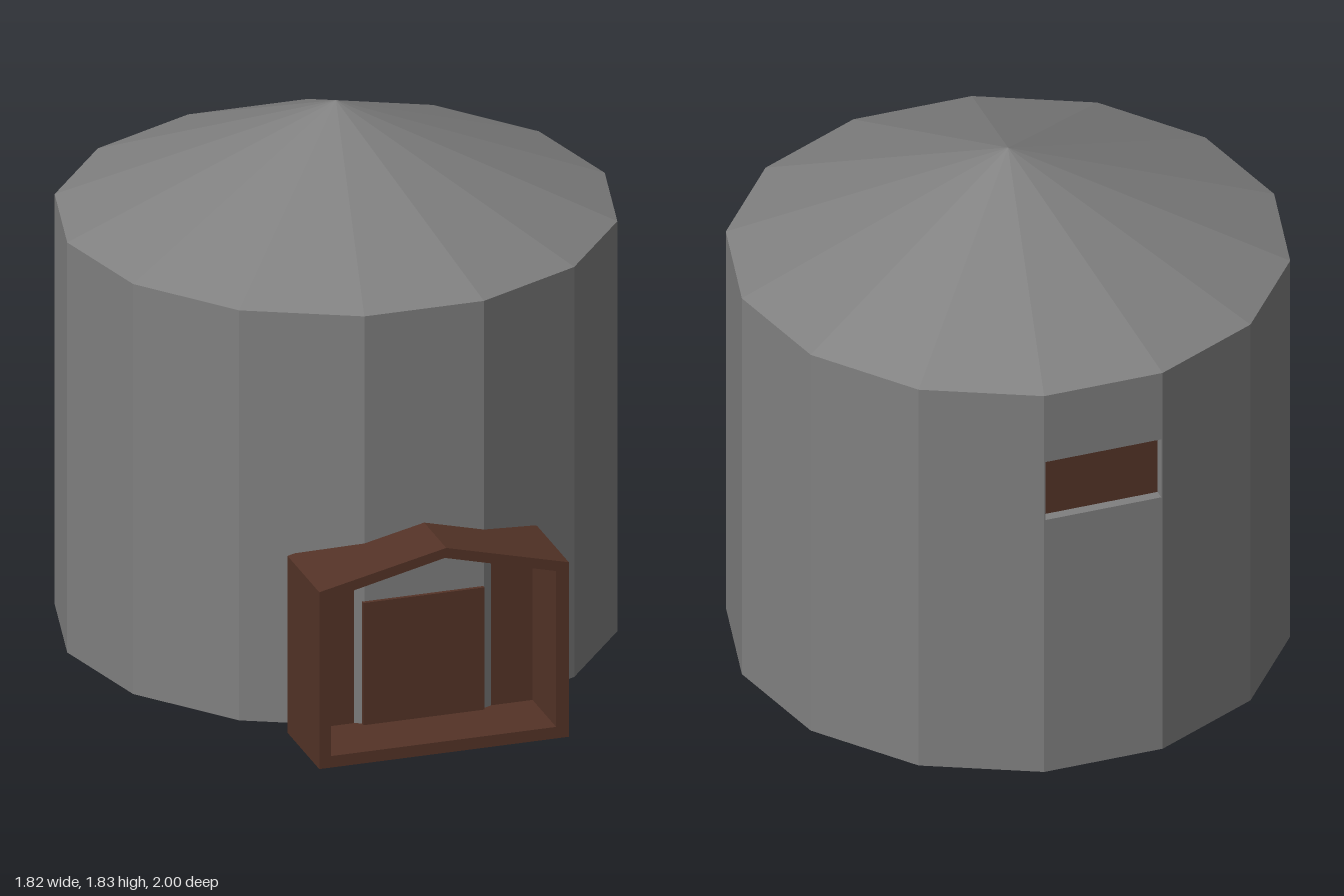
import * as THREE from 'three';

const SIDES = 14, RADIUS = 0.91, CZ = -0.11, BASE = 0.03, EAVE = 1.456, PEAK = 1.83;

export function createModel() {
  const model = new THREE.Group();
  model.name = 'silo';
  const steel = new THREE.MeshStandardMaterial({ color: 0x808080, flatShading: true });
  steel.name = 'grey steel';
  const wood = new THREE.MeshStandardMaterial({ color: 0x54332a, flatShading: true });
  wood.color.set(0x543327);
  wood.name = 'brown wood';

  const add = (name, geometry, material, x, y, z) => {
    const mesh = new THREE.Mesh(geometry, material);
    mesh.name = name;
    mesh.position.set(x, y, z);
    model.add(mesh);
    return mesh;
  };
  const polygon = (points, Type = THREE.Shape) =>
    new Type(points.map(([x, y]) => new THREE.Vector2(x, y)));
  const extrude = (shape, depth) =>
    new THREE.ExtrudeGeometry(shape, { depth, bevelEnabled: false });

  // Faceted wall, leaving out the back facet
  const step = (Math.PI * 2) / SIDES;
  const start = Math.PI + step / 2;
  const height = EAVE - BASE;
  add('wall', new THREE.CylinderGeometry(RADIUS, RADIUS, height, SIDES - 1, 1, true, start, step * (SIDES - 1)),
    steel, 0, BASE + height / 2, CZ);

  // Conical roof
  add('roof', new THREE.ConeGeometry(RADIUS, PEAK - EAVE, SIDES, 1, true, start),
    steel, 0, (EAVE + PEAK) / 2, CZ);

  // Floor disc facing down
  add('floor', new THREE.CircleGeometry(RADIUS, SIDES).rotateX(Math.PI / 2), steel, 0, BASE, CZ);

  // Back facet with a window opening
  const half = RADIUS * Math.sin(step / 2);
  const backZ = CZ - RADIUS * Math.cos(step / 2);
  const facet = polygon([[-half, BASE], [half, BASE], [half, EAVE], [-half, EAVE]]);
  facet.holes.push(polygon([[-0.198, 0.985], [-0.198, 1.205], [0.198, 1.205], [0.198, 0.985]], THREE.Path));
  add('backWall', extrude(facet, 0.04), steel, 0, 0, backZ);

  // Recessed window panel
  add('windowPanel', new THREE.BoxGeometry(0.396, 0.22, 0.008), wood, 0, 1.095, backZ + 0.039);

  // Gabled porch: open front frame and a solid rear the wall pokes through
  const gable = [[-0.43, 0], [0.415, 0], [0.415, 0.607], [0, 0.712], [-0.43, 0.615]];
  const opening = [[-0.39, 0.04], [-0.39, 0.588], [-0.005, 0.678], [0.372, 0.582], [0.372, 0.04]];
  const frame = polygon(gable);
  frame.holes.push(polygon(opening, THREE.Path));
  add('porchFrame', extrude(frame, 0.237), wood, 0, 0, 0.763);
  add('porchBack', extrude(polygon(gable), 0.083), wood, 0, 0, 0.68);

  // Door on the front facet
  add('door', new THREE.BoxGeometry(0.41, 0.425, 0.02), wood, -0.005, 0.2525, 0.78);

  return model;
}
